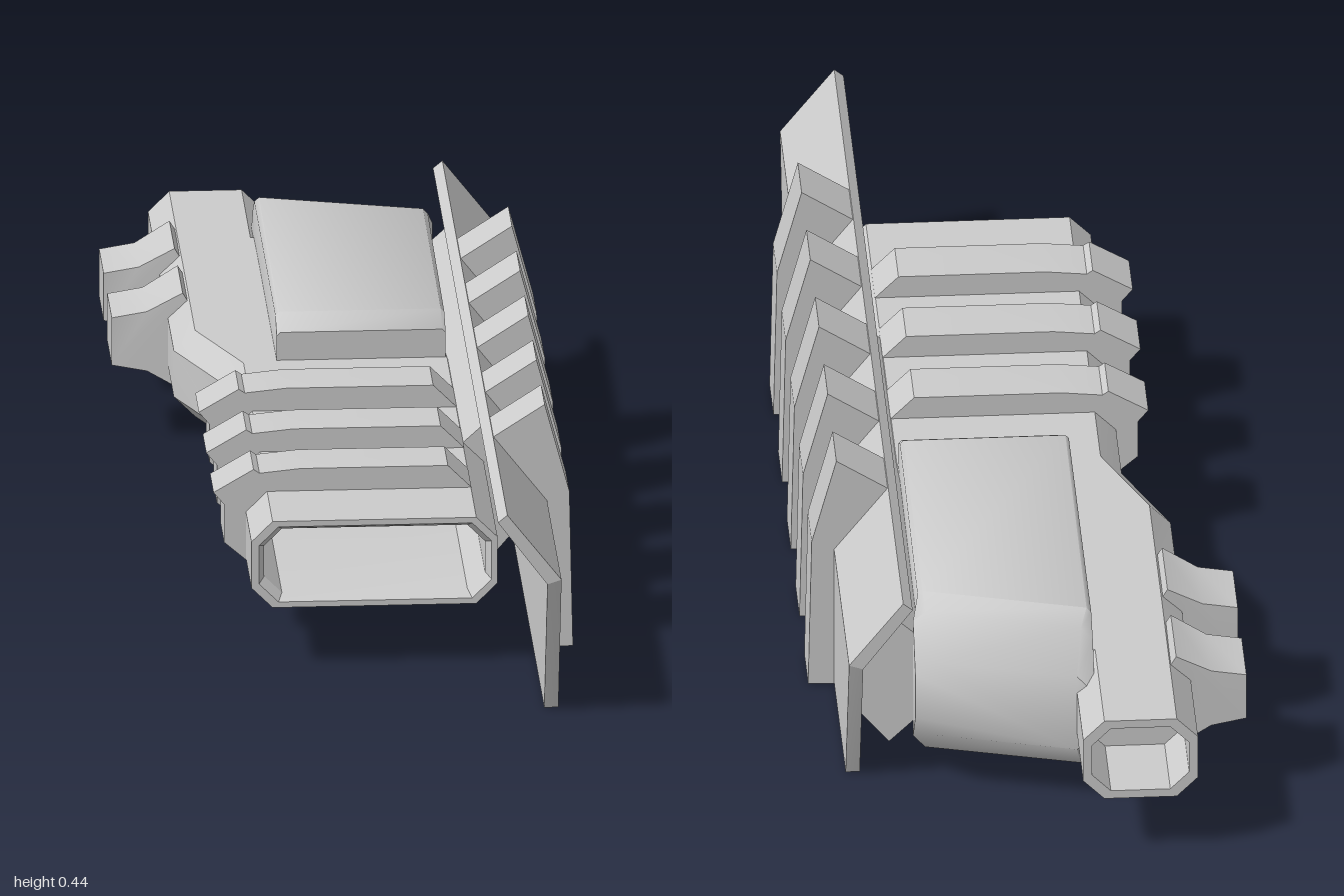
import * as THREE from 'three';
import { toCreasedNormals } from 'three/addons/utils/BufferGeometryUtils.js';

const material = new THREE.MeshStandardMaterial({ color: 0xcccccc });

function add(group, name, geometry, crease = 0.5) {
  const mesh = new THREE.Mesh(toCreasedNormals(geometry, crease), material);
  mesh.name = name;
  group.add(mesh);
}

// Eight-sided ring, counter-clockwise seen from the front; z may depend on x
function octagon(x0, x1, y0, y1, c, z) {
  const zAt = typeof z === 'function' ? z : () => z;
  return [
    [x0 + c, y0], [x1 - c, y0], [x1, y0 + c], [x1, y1 - c],
    [x1 - c, y1], [x0 + c, y1], [x0, y1 - c], [x0, y0 + c],
  ].map(([x, y]) => [x, y, zAt(x)]);
}

// Skin through successive rings, closed by a cap at both ends
function loft(rings) {
  const pos = [];
  const tri = (a, b, c) => pos.push(...a, ...b, ...c);
  const n = rings[0].length;
  for (let r = 0; r < rings.length - 1; r++) {
    for (let i = 0; i < n; i++) {
      const j = (i + 1) % n, a = rings[r], b = rings[r + 1];
      tri(a[i], b[i], a[j]);
      tri(a[j], b[i], b[j]);
    }
  }
  const first = rings[0], last = rings[rings.length - 1];
  for (let i = 1; i < n - 1; i++) {
    tri(first[0], first[i], first[i + 1]);
    tri(last[0], last[i + 1], last[i]);
  }
  const g = new THREE.BufferGeometry();
  g.setAttribute('position', new THREE.Float32BufferAttribute(pos, 3));
  return g;
}

// Front outline pushed along z from z0 to z1
function prism(points, z0, z1) {
  const shape = new THREE.Shape(points.map(([x, y]) => new THREE.Vector2(x, y)));
  return new THREE.ExtrudeGeometry(shape, { depth: z1 - z0, bevelEnabled: false }).translate(0, 0, z0);
}

// Move vertices by a rule acting on a vector
function reshape(geometry, rule) {
  const p = geometry.attributes.position, v = new THREE.Vector3();
  for (let i = 0; i < p.count; i++) {
    rule(v.fromBufferAttribute(p, i));
    p.setXYZ(i, v.x, v.y, v.z);
  }
  return geometry;
}

export function createModel() {
  const model = new THREE.Group();

  // Hollow-nosed casing that widens and then narrows into the rear pipe
  add(model, 'casing', loft([
    octagon(-0.17, 0.205, 0.13, 0.245, 0.03, 0.3),
    octagon(-0.17, 0.205, 0.13, 0.245, 0.03, 0.66),
    octagon(-0.18, 0.215, 0.12, 0.255, 0.033, 0.68),
    octagon(-0.193, 0.225, 0.11, 0.265, 0.036, 0.68),
    octagon(-0.193, 0.225, 0.11, 0.265, 0.036, -0.12),
    octagon(-0.265, 0.21, 0.11, 0.265, 0.036, -0.29),
    octagon(-0.265, 0.19, 0.11, 0.265, 0.036, -0.62),
    octagon(-0.265, -0.07, 0.11, 0.262, 0.036, -0.76),
    octagon(-0.265, -0.07, 0.11, 0.262, 0.036, -1),
    octagon(-0.25, -0.085, 0.125, 0.247, 0.032, -1),
    octagon(-0.25, -0.085, 0.125, 0.247, 0.032, -0.85),
  ]));

  // Deep housing at the back with a skewed, tapering tail
  const skew = (z) => (x) => z + 0.27 * (x + 0.1);
  add(model, 'rearHousing', loft([
    octagon(-0.1, 0.187, 0.06, 0.315, 0.006, -0.13),
    octagon(-0.1, 0.187, 0.037, 0.338, 0.006, -0.17),
    octagon(-0.1, 0.19, 0.037, 0.338, 0.008, skew(-0.75)),
    octagon(-0.1, 0.2, 0.055, 0.32, 0.02, skew(-0.79)),
    octagon(-0.1, 0.2, 0.115, 0.258, 0.03, skew(-0.85)),
  ]), 0.85);

  // Bands over the top and outer edge of the casing
  const band = [
    [0.19, 0.255], [0.19, 0.265], [0.15, 0.305], [-0.1, 0.305], [-0.17, 0.298], [-0.18, 0.305],
    [-0.248, 0.265], [-0.23, 0.243], [-0.23, 0.175], [-0.155, 0.11],
    [-0.15, 0.118], [-0.182, 0.15], [-0.182, 0.225], [-0.15, 0.255],
  ];
  for (const z of [0.075, 0.28, 0.48]) add(model, 'casingBand', prism(band, z - 0.048, z + 0.048));

  // Side clips near the pipe, slightly narrower at the outer end
  const clip = [
    [-0.36, 0.145], [-0.3, 0.133], [-0.24, 0.1], [-0.225, 0.112],
    [-0.225, 0.25], [-0.24, 0.275], [-0.3, 0.24], [-0.36, 0.23],
  ];
  for (const z of [-0.745, -0.52]) {
    const g = reshape(prism(clip, -0.07, 0.07), (v) => { if (v.x < -0.29) v.z *= 0.88; });
    add(model, 'sideClip', g.translate(0, 0, z));
  }

  // Beam joining casing and guard
  add(model, 'guardMount', prism([
    [0.18, 0.118], [0.24, 0.06], [0.295, 0.125], [0.295, 0.265], [0.245, 0.315], [0.18, 0.255],
  ], -0.7, 0.3));

  // Bent guard plate whose lower ends are cut back
  const guard = prism([
    [0.29, 0.003], [0.314, 0.003], [0.314, 0.264], [0.222, 0.382], [0.206, 0.369], [0.29, 0.256],
  ], -1, 1);
  add(model, 'guardPlate', reshape(guard, (v) => {
    const cut = 0.09 * Math.max(0, (0.256 - v.y) / 0.256);
    v.z = v.z > 0 ? 1 - cut : -0.79 + cut;
  }), 0.3);

  // Ribs on the outside of the guard
  const rib = [
    [0.305, 0], [0.358, 0.002], [0.352, 0.28], [0.31, 0.437], [0.222, 0.38], [0.305, 0.266],
  ];
  for (let i = 0; i < 5; i++) {
    const z = 0.55 - i * 0.225;
    add(model, 'guardRib', prism(rib, z - 0.05, z + 0.05), 0.2);
  }
  return model;
}
